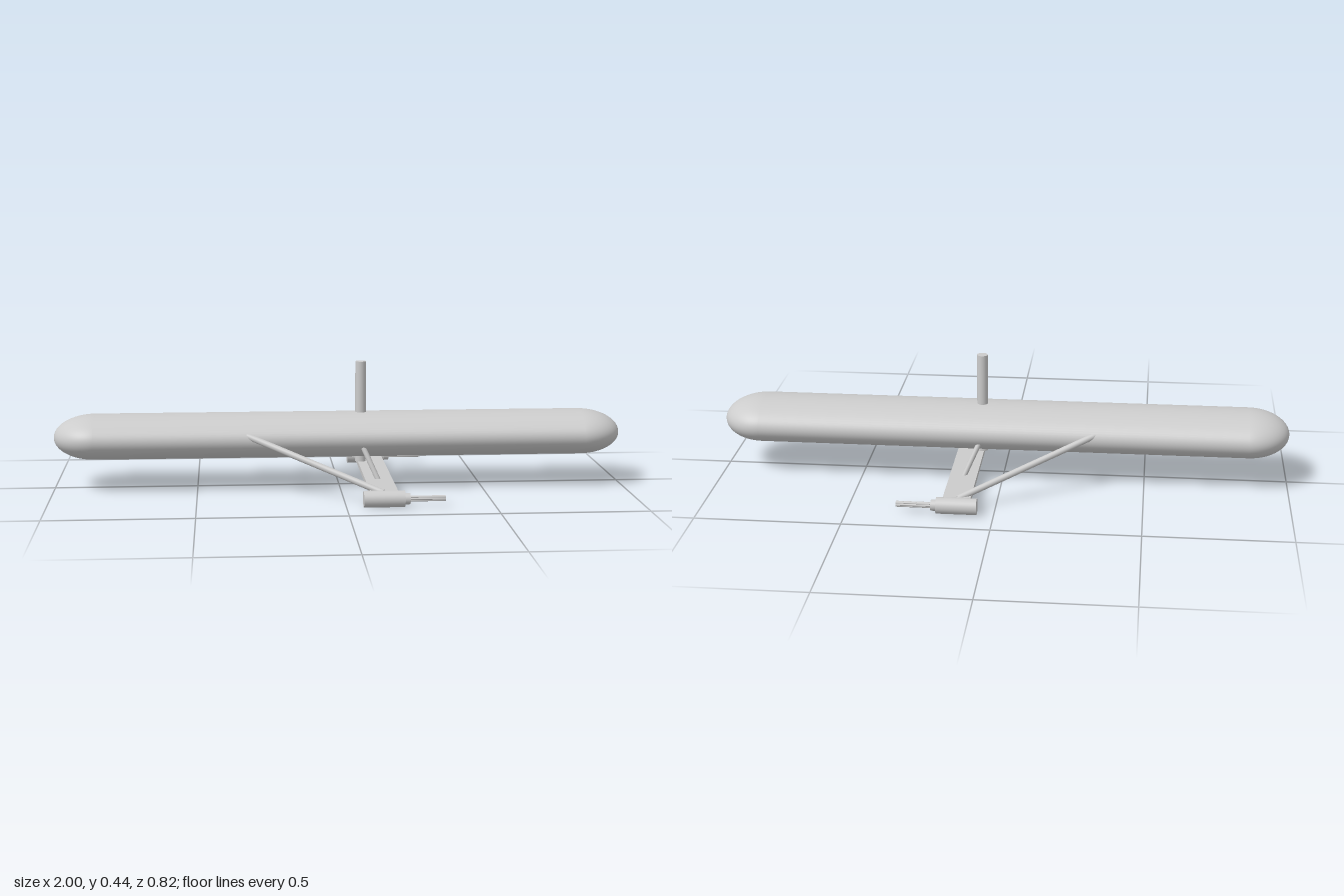
import * as THREE from 'three';

const material = new THREE.MeshStandardMaterial({ color: 0xcccccc });

function add(parent, name, geometry, x = 0, y = 0, z = 0) {
  const mesh = new THREE.Mesh(geometry, material);
  mesh.name = name;
  mesh.position.set(x, y, z);
  parent.add(mesh);
  return mesh;
}

// Cylinder running along x from x0 to x1
function rod(parent, name, radius, x0, x1, y = 0, z = 0, sides = 32) {
  const geometry = new THREE.CylinderGeometry(radius, radius, x1 - x0, sides).rotateZ(-Math.PI / 2);
  return add(parent, name, geometry, (x0 + x1) / 2, y, z);
}

// Round strut between two points
function strut(parent, name, radius, from, to) {
  const a = new THREE.Vector3(...from), b = new THREE.Vector3(...to);
  const mesh = add(parent, name, new THREE.CylinderGeometry(radius, radius, a.distanceTo(b), 24));
  mesh.position.copy(a).lerp(b, 0.5);
  mesh.quaternion.setFromUnitVectors(new THREE.Vector3(0, 1, 0), b.sub(a).normalize());
  return mesh;
}

export function createModel() {
  const model = new THREE.Group();
  model.name = 'vehicle';

  // Flattened capsule hull lying along x
  const hullRadius = 0.143;
  const hull = new THREE.CapsuleGeometry(hullRadius, 2 - 2 * hullRadius, 24, 64)
    .rotateZ(-Math.PI / 2).scale(1, 0.078 / hullRadius, 1);
  add(model, 'hull', hull, 0, 0.182, 0);

  // Mast passing through the hull
  add(model, 'mast', new THREE.CylinderGeometry(0.019, 0.019, 0.357, 32), 0.077, 0.2615, 0);

  // Flat cross beam below the hull
  add(model, 'crossBeam', new THREE.BoxGeometry(0.095, 0.017, 0.74), 0.1275, 0.0415, 0);

  for (const side of [1, -1]) {
    const name = side > 0 ? 'front' : 'back';

    // Braces from the beam up into the hull
    strut(model, name + 'LongStrut', 0.011, [0.125, 0.043, side * 0.352], [-0.34, 0.205, side * 0.12]);
    strut(model, name + 'ShortStrut', 0.009, [0.127, 0.043, side * 0.16], [0.072, 0.165, side * 0.122]);

    // Pod with collar and a cluster of thin barrels
    const pod = new THREE.Group();
    pod.name = name + 'Pod';
    pod.position.set(0, 0.028, side * 0.38);
    model.add(pod);
    rod(pod, 'podBody', 0.028, 0.057, 0.195);
    rod(pod, 'podCollar', 0.019, 0.19, 0.213);
    for (let i = 0; i < 6; i++) {
      const angle = (i / 6) * Math.PI * 2;
      rod(pod, 'barrel', 0.0038, 0.2, 0.332, 0.0065 * Math.sin(angle), 0.0065 * Math.cos(angle), 12);
    }
  }
  return model;
}
